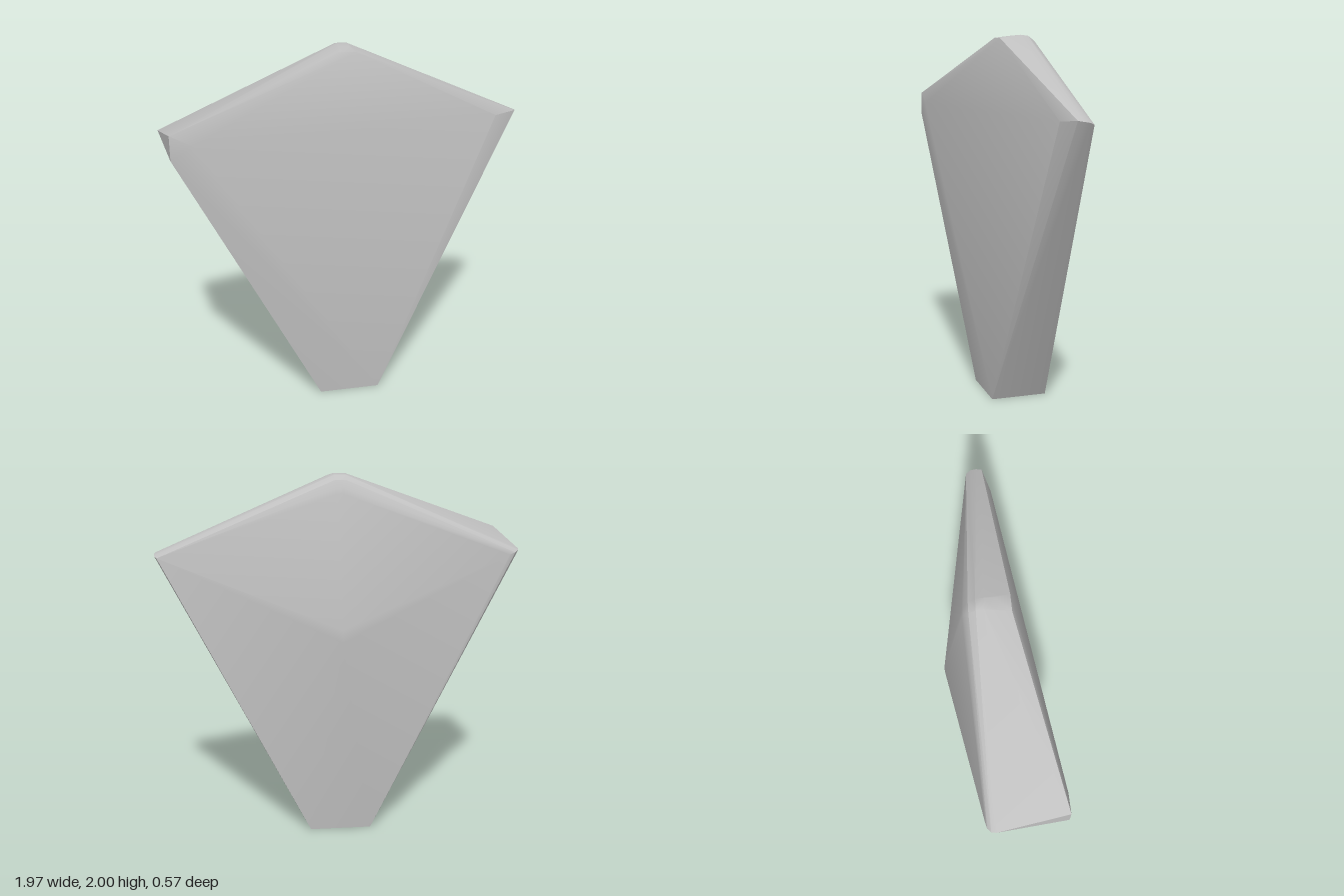
import * as THREE from 'three';
import { ConvexGeometry } from 'three/addons/geometries/ConvexGeometry.js';
import { toCreasedNormals } from 'three/addons/utils/BufferGeometryUtils.js';

export function createModel() {
  const group = new THREE.Group();
  const stone = new THREE.MeshStandardMaterial({ color: 0xc0c0c0 });
  stone.name = 'pale grey';

  const points = [];
  const add = (x, y, z) => points.push(new THREE.Vector3(x, y, z));

  // rectangular foot
  for (const x of [-0.17, 0.17]) for (const z of [-0.16, 0.15]) add(x, 0, z);

  // apex: front edge, then a rounded rim falling to the back
  add(-0.04, 1.985, 0.068);
  add(0.05, 1.98, 0.065);
  for (const [y, z] of [[1.995, -0.01], [2, -0.06], [1.995, -0.1], [1.97, -0.135], [1.93, -0.158], [1.9, -0.167]])
    for (const x of [-0.03, 0.03]) add(x * (y > 1.94 ? 1 : 0.6), y, z);

  // keel point on the back
  add(0, 1.2, -0.285);
  add(0, 1.13, -0.285);

  // thin right-hand corner, rounded from front to back
  add(0.85, 1.58, 0.02);
  for (const [x, y, z] of [[0.975, 1.59, -0.02], [0.984, 1.585, -0.05], [0.982, 1.58, -0.08], [0.968, 1.57, -0.105]]) add(x, y, z);

  // deep left-hand corner with a blunt front end
  add(-0.935, 1.66, 0.285);
  add(-0.935, 1.53, 0.285);
  add(-0.82, 1.6, 0.285);
  for (const [x, y, z] of [[-0.985, 1.585, -0.065], [-0.98, 1.58, -0.09], [-0.96, 1.57, -0.108], [-0.93, 1.56, -0.116]]) add(x, y, z);

  const body = new THREE.Mesh(toCreasedNormals(new ConvexGeometry(points), 0.42), stone);
  body.name = 'facetedBody';
  group.add(body);
  return group;
}
